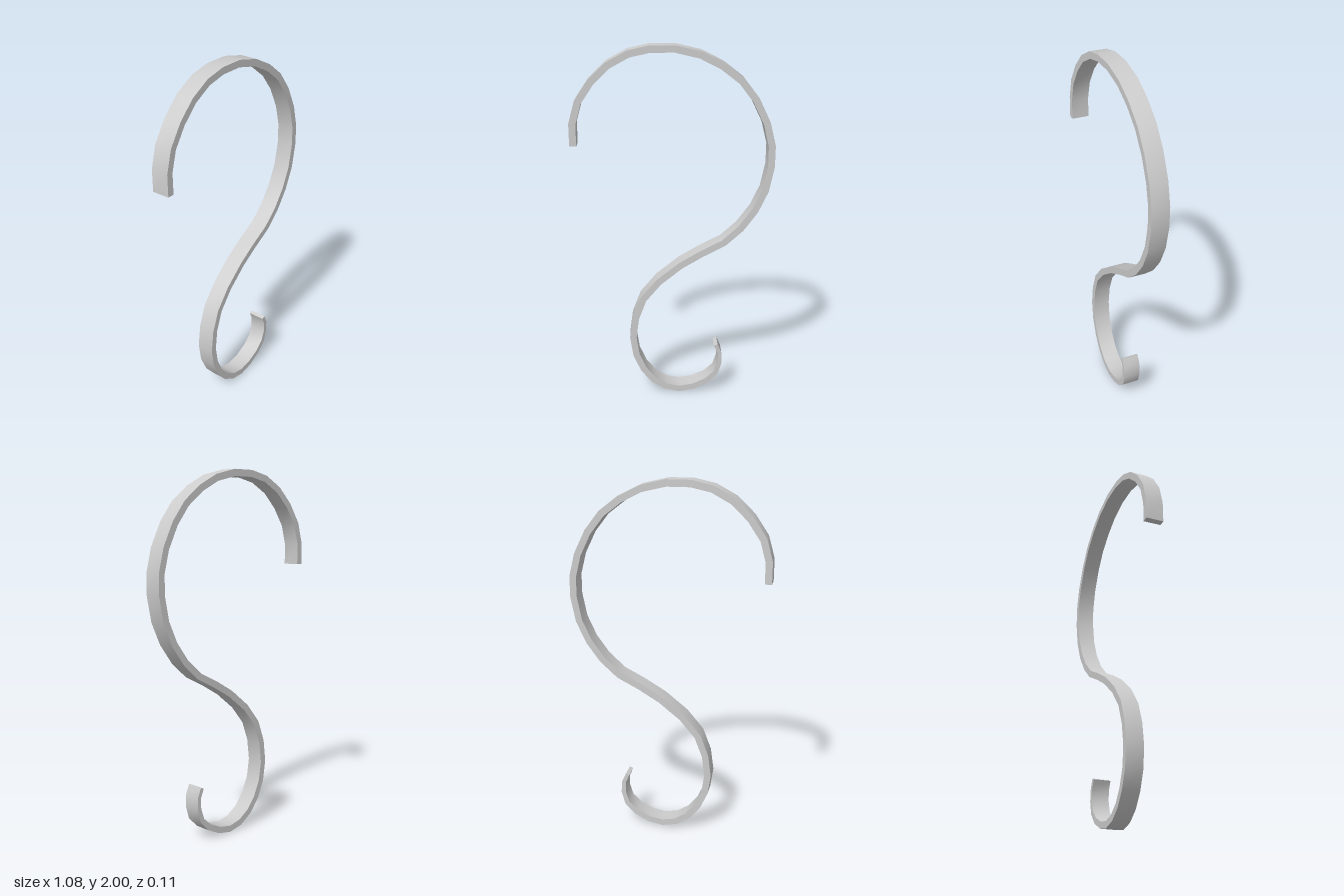
import * as THREE from 'three';
import { toCreasedNormals } from 'three/addons/utils/BufferGeometryUtils.js';

// Centre line of the bent strip, from the upper tip to the lower curl
const path = [
  [-0.527, 1.484], [-0.527, 1.6], [-0.495, 1.712], [-0.425, 1.815], [-0.336, 1.9], [-0.23, 1.957],
  [-0.12, 1.981], [0.008, 1.981], [0.14, 1.95], [0.253, 1.893], [0.352, 1.817], [0.43, 1.717],
  [0.49, 1.595], [0.521, 1.474], [0.521, 1.362], [0.495, 1.23], [0.442, 1.114], [0.368, 1.013],
  [0.275, 0.929], [0.156, 0.868], [0.04, 0.799], [-0.082, 0.701], [-0.17, 0.595], [-0.214, 0.479],
  [-0.23, 0.357], [-0.214, 0.246], [-0.172, 0.151], [-0.116, 0.082], [-0.045, 0.036], [0.034, 0.019],
  [0.114, 0.033], [0.193, 0.071], [0.246, 0.124], [0.267, 0.193], [0.265, 0.257], [0.243, 0.307],
].map(([x, y]) => new THREE.Vector2(x, y));

const HALF_WIDTH = 0.048;
const { lerp, smoothstep } = THREE.MathUtils;

// Rectangular section swept along the path, mitred at each bend
function stripGeometry() {
  const positions = [], index = [];
  const last = path.length - 1;
  path.forEach((p, i) => {
    const a = path[Math.max(i - 1, 0)], b = path[Math.min(i + 1, last)];
    const before = p.clone().sub(a).normalize(), after = b.clone().sub(p).normalize();
    const tangent = before.add(after).normalize();
    const nx = -tangent.y, ny = tangent.x;
    // The curl thins towards its end and drifts slightly forward
    const half = lerp(0.0185, 0.011, smoothstep(i, 29, last));
    const z = -0.01 + 0.003 * Math.max(0, 1 - i / 5) + 0.016 * Math.max(0, (i - 18) / (last - 18));
    for (const [s, w] of [[1, 1], [-1, 1], [-1, -1], [1, -1]]) {
      positions.push(p.x + nx * half * s, p.y + ny * half * s, z + HALF_WIDTH * w);
    }
  });
  for (let i = 0; i < last; i++) {
    for (let k = 0; k < 4; k++) {
      const a = i * 4 + k, b = i * 4 + (k + 1) % 4;
      index.push(a, b, b + 4, a, b + 4, a + 4);
    }
  }
  // End caps
  const e = last * 4;
  index.push(0, 2, 1, 0, 3, 2, e, e + 1, e + 2, e, e + 2, e + 3);

  const geometry = new THREE.BufferGeometry();
  geometry.setAttribute('position', new THREE.Float32BufferAttribute(positions, 3));
  geometry.setIndex(index);
  return toCreasedNormals(geometry, 0.7);
}

export function createModel() {
  const group = new THREE.Group();
  group.name = 'sHook';
  const material = new THREE.MeshStandardMaterial({ color: 0xcccccc, side: THREE.DoubleSide });
  const strip = new THREE.Mesh(stripGeometry(), material);
  strip.name = 'bentStrip';
  group.add(strip);
  return group;
}
